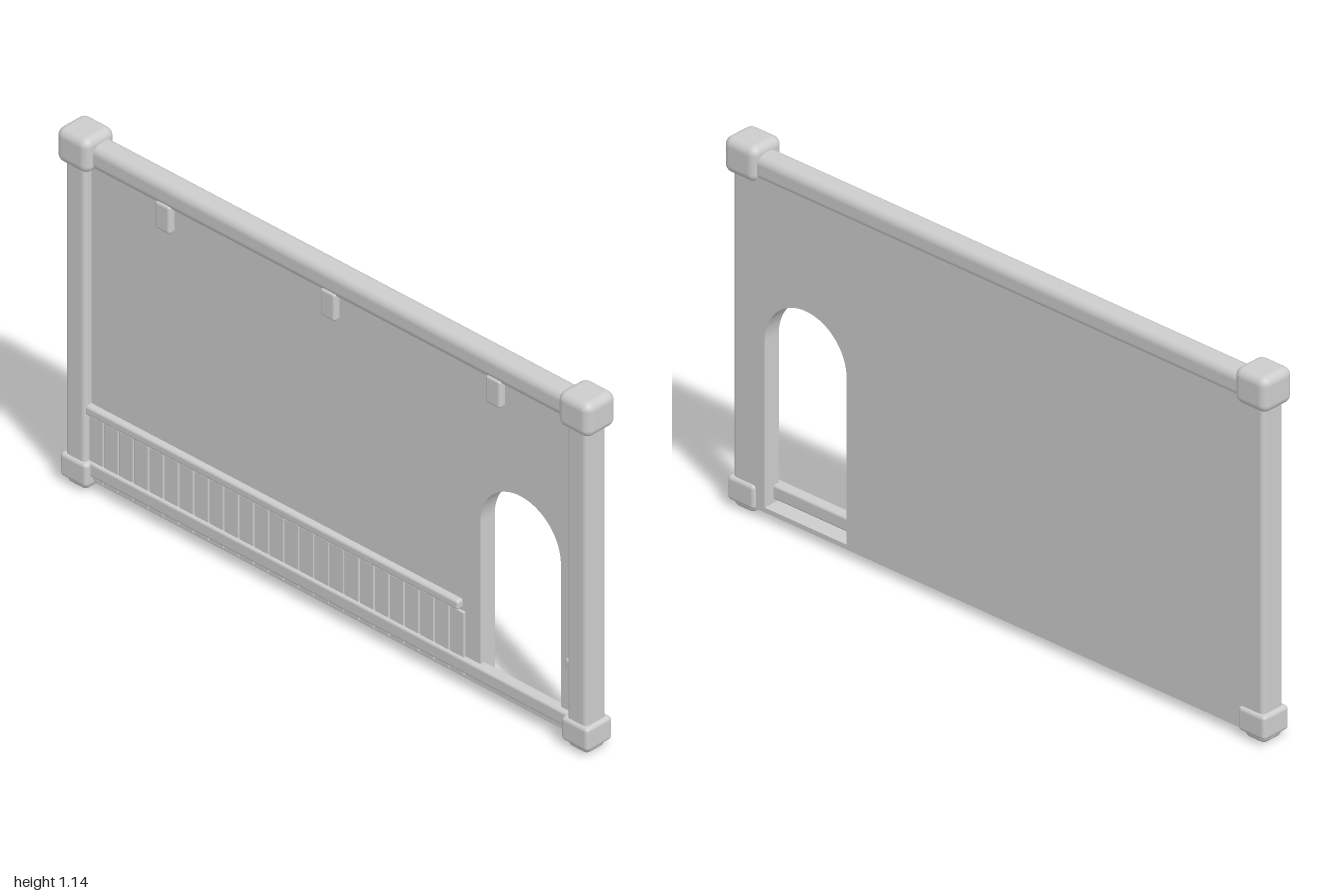
import * as THREE from 'three';
import { RoundedBoxGeometry } from 'three/addons/geometries/RoundedBoxGeometry.js';

export function createModel() {
  const group = new THREE.Group();
  const grey = new THREE.MeshStandardMaterial({ color: 0xcccccc });
  grey.name = 'plain grey';

  const add = (name, geometry) => {
    const mesh = new THREE.Mesh(geometry, grey);
    mesh.name = name;
    group.add(mesh);
    return mesh;
  };
  // Rounded block given by its minimum and maximum corners
  const block = (name, [x0, y0, z0], [x1, y1, z1], radius) => {
    const geometry = new RoundedBoxGeometry(x1 - x0, y1 - y0, z1 - z0, 4, radius);
    geometry.translate((x0 + x1) / 2, (y0 + y1) / 2, (z0 + z1) / 2);
    return add(name, geometry);
  };

  // Wall panel with an arched doorway
  const wall = new THREE.Shape();
  wall.moveTo(-0.96, 0.025);
  wall.lineTo(0.96, 0.025);
  wall.lineTo(0.96, 1.06);
  wall.lineTo(-0.96, 1.06);
  wall.closePath();
  const door = new THREE.Path();
  door.moveTo(0.556, 0.04);
  door.lineTo(0.556, 0.552);
  door.absarc(0.707, 0.552, 0.151, Math.PI, 0, true);
  door.lineTo(0.858, 0.04);
  door.closePath();
  wall.holes.push(door);
  const panel = new THREE.ExtrudeGeometry(wall, { depth: 0.056, bevelEnabled: false, curveSegments: 32 });
  panel.translate(0, 0, -0.041);
  add('wallPanel', panel);

  // Corner posts with their caps, bases and feet
  for (const [side, s] of [['left', 1], ['right', -1]]) {
    const x = 0.94 * s;
    block(side + 'Post', [x - 0.037, 0.06, -0.04], [x + 0.037, 1.08, 0.041], 0.014);
    block(side + 'Cap', [x - 0.06, 1.03, -0.058], [x + 0.06, 1.14, 0.058], 0.026);
    block(side + 'Base', [x - 0.05, 0.02, -0.05], [x + 0.05, 0.095, 0.05], 0.012);
    block(side + 'Foot', [x - 0.04, 0, -0.04], [x + 0.04, 0.05, 0.04], 0.02);
  }

  // Horizontal beams
  block('topBeam', [-0.93, 1.036, -0.044], [0.93, 1.115, 0.032], 0.026);
  block('bottomBeam', [-0.93, 0.05, -0.005], [0.93, 0.095, 0.032], 0.008);

  // Brackets under the top beam
  for (const x of [-0.62, 0, 0.62]) {
    block('bracket', [x - 0.028, 0.963, 0], [x + 0.028, 1.052, 0.035], 0.009);
  }

  // Plank skirting
  const count = 25, left = -0.907, pitch = 1.41 / count;
  for (let i = 0; i < count; i++) {
    const x = left + i * pitch;
    block('plank', [x + 0.002, 0.035, 0], [x + pitch - 0.002, 0.238, 0.023], 0.002);
  }

  // Rail above the planks, and its short end beyond the doorway
  block('plankRail', [-0.91, 0.244, 0], [0.49, 0.275, 0.035], 0.009);
  block('railEnd', [0.89, 0.244, 0], [0.92, 0.275, 0.035], 0.009);

  return group;
}
